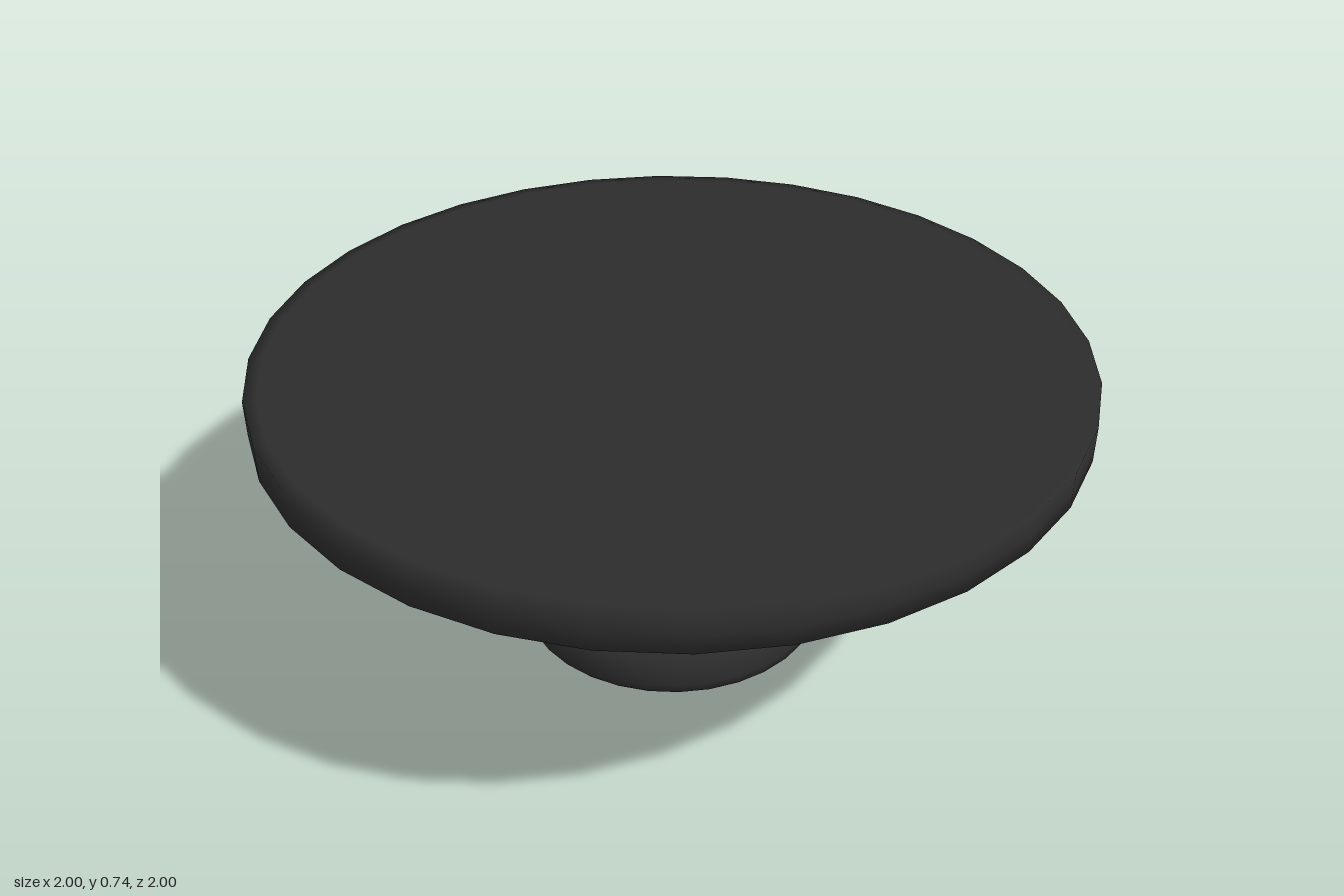
import * as THREE from 'three';

const SIDES = 32;

// Smooth turned part from [radius, height] pairs, listed bottom to top
function turned(name, profile, material) {
  const points = profile.map(([r, y]) => new THREE.Vector2(r, y));
  const mesh = new THREE.Mesh(new THREE.LatheGeometry(points, SIDES), material);
  mesh.name = name;
  return mesh;
}

export function createModel() {
  const charcoal = new THREE.MeshStandardMaterial({ color: 0x2c2c2c });
  charcoal.name = 'charcoal';

  const table = new THREE.Group();
  table.name = 'pedestalTable';

  // Flared pedestal: wide foot, narrow neck, collar under the top
  table.add(turned('pedestal', [
    [0, 0], [0.37, 0], [0.385, 0], [0.385, 0.02], [0.385, 0.105],
    [0.2, 0.205], [0.077, 0.39], [0.053, 0.525], [0.115, 0.655],
  ], charcoal));

  // Round top with a softly shaded rim
  table.add(turned('tableTop', [
    [0, 0.65], [0.97, 0.65], [1, 0.65], [1, 0.69], [1, 0.74], [0.97, 0.74], [0, 0.74],
  ], charcoal));

  return table;
}
